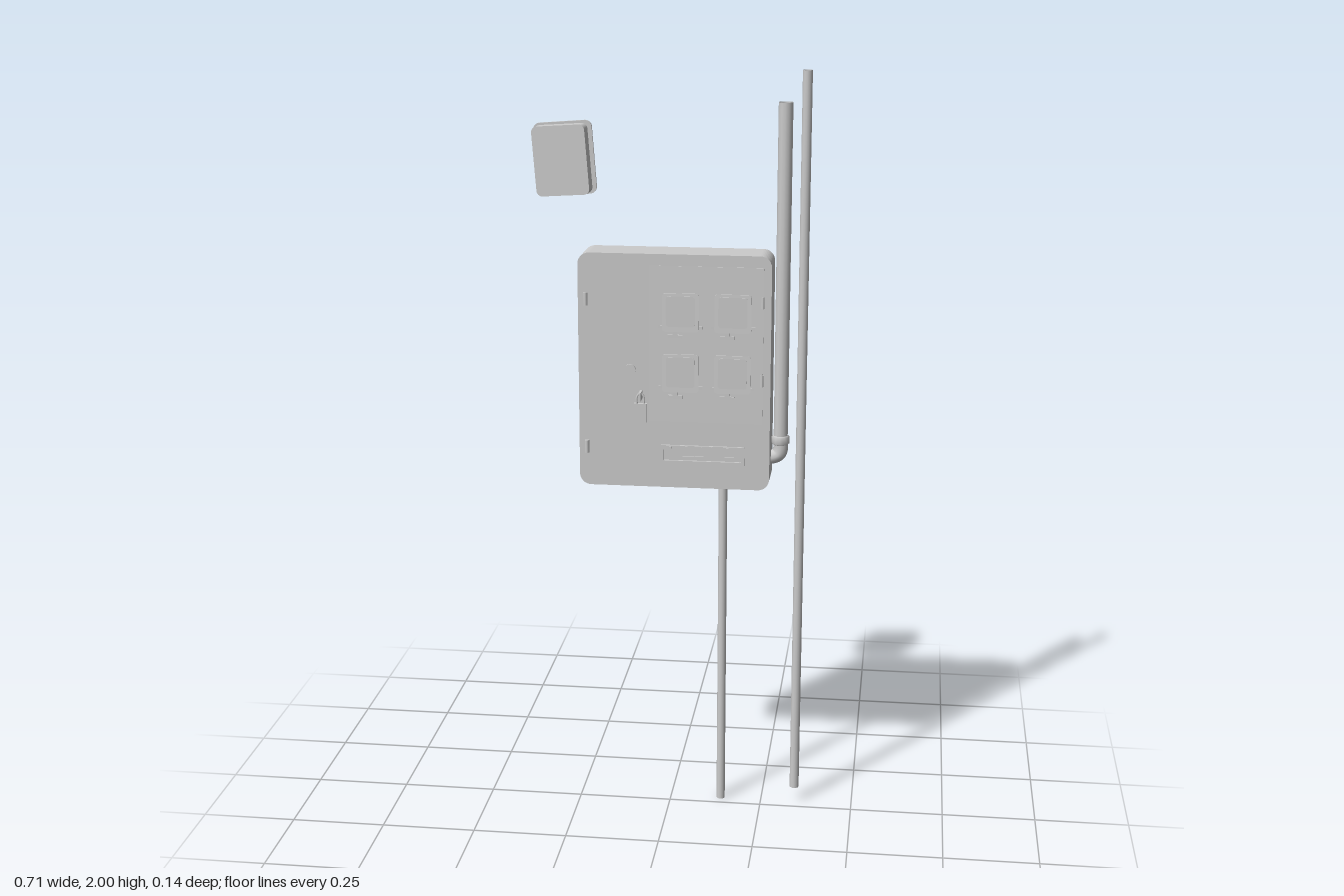
import * as THREE from 'three';

const material = new THREE.MeshStandardMaterial({ color: 0xcccccc, side: THREE.DoubleSide });

function add(parent, name, geometry, x = 0, y = 0, z = 0) {
  const mesh = new THREE.Mesh(geometry, material);
  mesh.name = name;
  mesh.position.set(x, y, z);
  parent.add(mesh);
  return mesh;
}

const box = (w, h, d) => new THREE.BoxGeometry(w, h, d);
const tube = (r, h, sides = 12, open = true) => new THREE.CylinderGeometry(r, r, h, sides, 1, open);

function roundedOutline(target, w, h, r) {
  const x = w / 2, y = h / 2;
  target.moveTo(-x + r, -y);
  target.lineTo(x - r, -y);
  target.absarc(x - r, -y + r, r, -Math.PI / 2, 0);
  target.lineTo(x, y - r);
  target.absarc(x - r, y - r, r, 0, Math.PI / 2);
  target.lineTo(-x + r, y);
  target.absarc(-x + r, y - r, r, Math.PI / 2, Math.PI);
  target.lineTo(-x, -y + r);
  target.absarc(-x + r, -y + r, r, Math.PI, Math.PI * 1.5);
  return target;
}

// Slab with rounded corners, optionally with a rectangular opening, centred on z
function slab(w, h, d, r, hole) {
  const shape = roundedOutline(new THREE.Shape(), w, h, r);
  if (hole) shape.holes.push(roundedOutline(new THREE.Path(), hole[0], hole[1], 0.002));
  return new THREE.ExtrudeGeometry(shape, { depth: d, bevelEnabled: false, curveSegments: 6 })
    .translate(0, 0, -d / 2);
}

const FRONT = 0.035; // z of the cabinet face

// One breaker cover: mounting strip, raised sloping flap, latch tab
function breakerCover() {
  const group = new THREE.Group();
  group.name = 'breakerCover';
  const flap = add(group, 'flap', slab(0.095, 0.1, 0.005, 0.008), 0, 0, 0.005);
  flap.rotation.x = -0.03;
  add(group, 'hingeStrip', box(0.115, 0.008, 0.004), 0, -0.038, 0.003);
  add(group, 'flapBulge', slab(0.075, 0.08, 0.002, 0.008), 0, 0.003, 0.008);
  add(group, 'latchStem', box(0.012, 0.018, 0.004), -0.014, -0.054, 0.004);
  add(group, 'latchTab', box(0.038, 0.009, 0.006), -0.014, -0.063, 0.004);
  return group;
}

function padlock() {
  const group = new THREE.Group();
  group.name = 'padlock';
  add(group, 'lockBody', box(0.034, 0.05, 0.01), 0, -0.02, 0);
  const shackle = new THREE.CatmullRomCurve3([
    [-0.009, 0], [-0.009, 0.022], [0, 0.034], [0.009, 0.022], [0.009, 0],
  ].map(([x, y]) => new THREE.Vector3(x, y, 0)));
  add(group, 'shackle', new THREE.TubeGeometry(shackle, 16, 0.0028, 6));
  add(group, 'hasp', box(0.006, 0.022, 0.032), 0, 0.025, 0);
  return group;
}

function cabinet() {
  const group = new THREE.Group();
  group.name = 'cabinet';
  add(group, 'cabinetBody', slab(0.5, 0.62, 0.105, 0.03), 0.015, 1.23, -0.0175);

  // Inner panel door, standing very slightly open
  const door = add(group, 'innerDoor', slab(0.295, 0.41, 0.003, 0.003), 0.0975, 1.305, FRONT);
  door.rotation.y = -0.008;

  for (const y of [1.42, 1.025])
    add(group, 'hinge', tube(0.006, 0.034, 8, false), -0.215, y, FRONT + 0.002);
  for (const y of [1.42, 1.215])
    add(group, 'doorHinge', tube(0.004, 0.03, 8, false), 0.243, y, FRONT + 0.002);

  for (const x of [0.032, 0.167]) for (const y of [1.39, 1.23]) {
    const cover = breakerCover();
    cover.position.set(x, y, FRONT);
    group.add(cover);
  }

  const knob = add(group, 'knob', tube(0.015, 0.006, 16, false), -0.1, 1.235, FRONT + 0.002);
  knob.rotation.x = Math.PI / 2;

  const lock = padlock();
  lock.position.set(-0.071, 1.145, 0.052);
  group.add(lock);

  // Framed terminal strip
  add(group, 'terminalFrame', slab(0.22, 0.052, 0.007, 0.003, [0.204, 0.03]), 0.09, 1.01, FRONT + 0.0025);
  for (let i = 0; i < 9; i++)
    add(group, 'terminalScrew', box(0.007, 0.006, 0.003), 0.005 + i * 0.0215, 1.031, FRONT + 0.006);
  for (const [x, w] of [[0.065, 0.055], [0.16, 0.025]])
    add(group, 'terminalBar', box(w, 0.006, 0.005), x, 1.004, FRONT + 0.002);
  return group;
}

function conduits() {
  const group = new THREE.Group();
  group.name = 'conduits';
  const z = -0.033;
  add(group, 'groundRod', tube(0.0125, 1.955), 0.342, 1.0225, z);
  add(group, 'lowerConduit', tube(0.0115, 0.93), 0.138, 0.465, z);
  add(group, 'mainConduit', tube(0.0185, 0.88), 0.289, 1.48, z);

  // Elbow joining the main conduit to the cabinet side
  const bend = new THREE.CatmullRomCurve3([
    [0.289, 1.05], [0.289, 1.015], [0.284, 1.002], [0.272, 0.995], [0.255, 0.993],
  ].map(([x, y]) => new THREE.Vector3(x, y, z)));
  add(group, 'elbow', new THREE.TubeGeometry(bend, 14, 0.0195, 12));
  const collar = [[0.0185, -0.012], [0.0235, -0.008], [0.0235, 0.01], [0.0185, 0.013]]
    .map(([r, y]) => new THREE.Vector2(r, y));
  add(group, 'elbowCollar', new THREE.LatheGeometry(collar, 12), 0.289, 1.04, z);
  return group;
}

// Small junction box, tilted, with a slightly open lid
function junctionBox() {
  const group = new THREE.Group();
  group.name = 'junctionBox';
  add(group, 'boxBack', slab(0.14, 0.178, 0.034, 0.015), 0, 0, -0.053);
  add(group, 'boxFlange', slab(0.152, 0.188, 0.007, 0.018), 0, 0, -0.033);
  const lid = add(group, 'boxLid', slab(0.14, 0.178, 0.032, 0.015), -0.003, 0, -0.003);
  lid.rotation.y = -0.1;
  group.position.set(-0.275, 1.77, 0);
  group.rotation.z = 0.075;
  return group;
}

export function createModel() {
  const model = new THREE.Group();
  model.name = 'electricalPanel';
  model.add(cabinet(), conduits(), junctionBox());
  return model;
}
